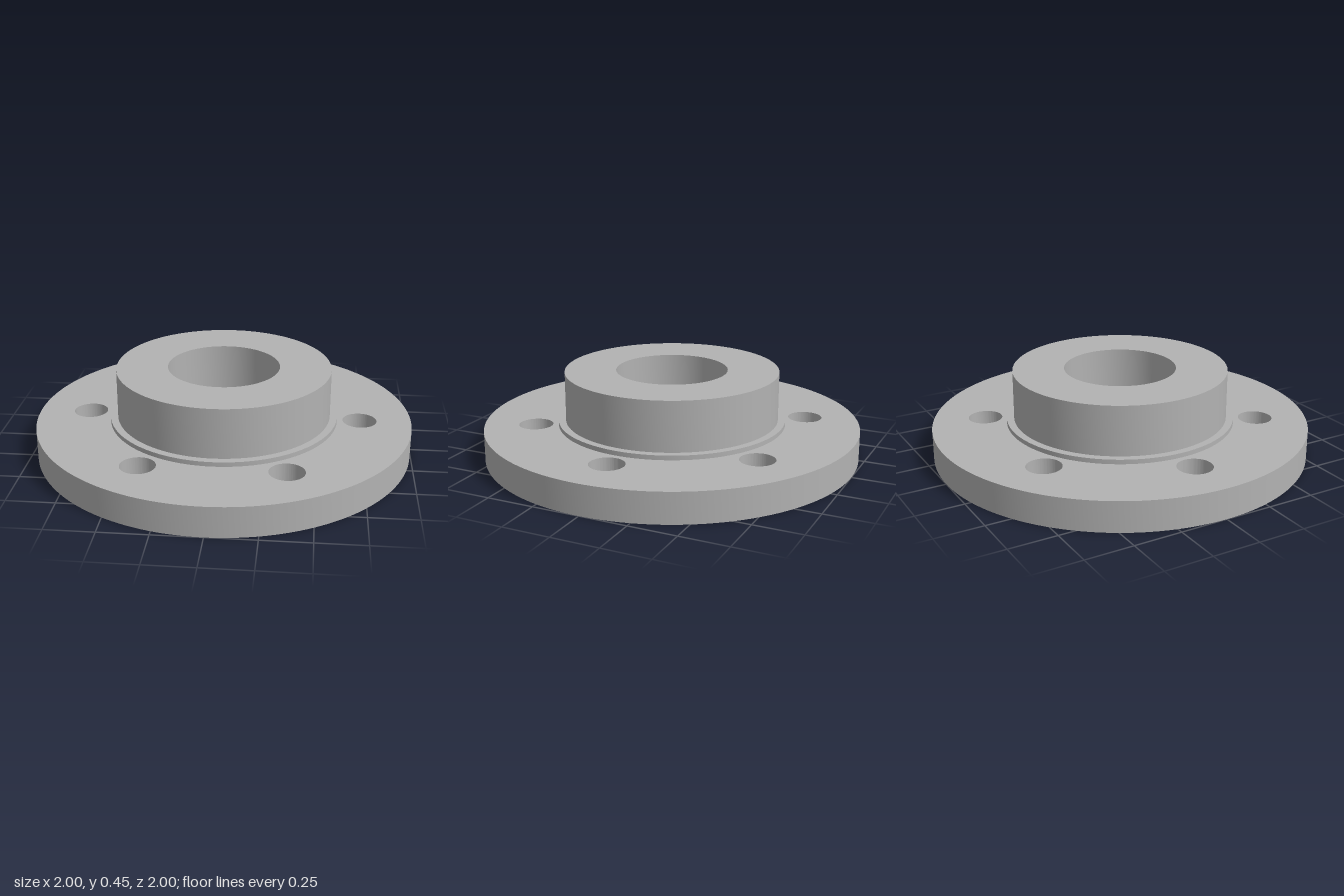
import * as THREE from 'three';
import { toCreasedNormals } from 'three/addons/utils/BufferGeometryUtils.js';

const FLANGE_TOP = 0.16;
const RECESS_RADIUS = 0.41;
const SEGMENTS = 96;

function circle(path, x, y, radius) {
  path.absarc(x, y, radius, 0, Math.PI * 2, false);
  return path;
}

export function createModel() {
  const model = new THREE.Group();
  model.name = 'flangedHub';
  const metal = new THREE.MeshStandardMaterial({ color: 0xb2b2b2 });
  metal.name = 'grey metal';

  const add = (name, geometry) => {
    const mesh = new THREE.Mesh(toCreasedNormals(geometry, Math.PI / 6), metal);
    mesh.name = name;
    model.add(mesh);
  };

  // Round flange with a central recess and six bolt holes
  const disc = circle(new THREE.Shape(), 0, 0, 1);
  disc.holes.push(circle(new THREE.Path(), 0, 0, RECESS_RADIUS));
  for (let i = 0; i < 6; i++) {
    const a = (i * Math.PI) / 3;
    disc.holes.push(circle(new THREE.Path(), 0.727 * Math.cos(a), 0.727 * Math.sin(a), 0.09));
  }
  const flange = new THREE.ExtrudeGeometry(disc, {
    depth: FLANGE_TOP, bevelEnabled: false, curveSegments: SEGMENTS,
  });
  flange.rotateX(-Math.PI / 2);
  add('flange', flange);

  // Hub: outer lip and wall, flat top, bore, then the stepped recess ceiling
  const profile = [
    [0.607, FLANGE_TOP], [0.607, 0.184], [0.568, 0.184], [0.568, 0.448],
    [0.296, 0.448], [0.296, 0.2], [0.33, 0.2], [0.33, 0.178],
    [RECESS_RADIUS, 0.178], [RECESS_RADIUS, FLANGE_TOP],
  ].map(([r, y]) => new THREE.Vector2(r, y));
  add('hub', new THREE.LatheGeometry(profile, SEGMENTS));

  return model;
}
